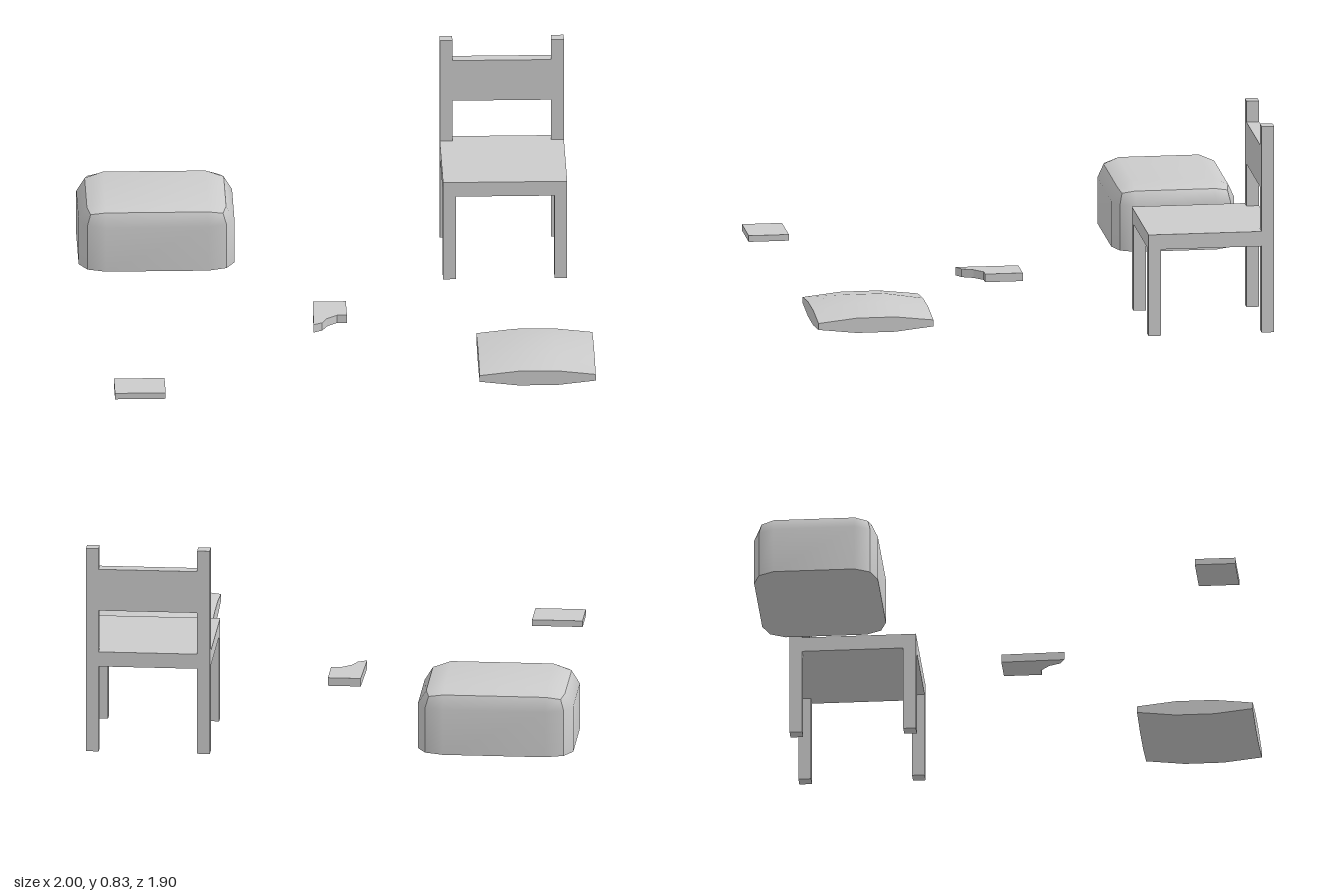
import * as THREE from 'three';

const material = new THREE.MeshStandardMaterial({ color: 0xcccccc });

function addMesh(parent, name, geometry) {
  const mesh = new THREE.Mesh(geometry, material);
  mesh.name = name;
  parent.add(mesh);
  return mesh;
}

// Box given by its lower and upper corners
function addBox(parent, name, [x0, y0, z0], [x1, y1, z1]) {
  const mesh = addMesh(parent, name, new THREE.BoxGeometry(x1 - x0, y1 - y0, z1 - z0));
  mesh.position.set((x0 + x1) / 2, (y0 + y1) / 2, (z0 + z1) / 2);
}

// Segmented box of size 2 whose vertices are moved by a rule;
// each of the six sides keeps its own smooth normals
function shapedBox(segments, rule) {
  const geometry = new THREE.BoxGeometry(2, 2, 2, ...segments);
  const p = geometry.attributes.position;
  for (let i = 0; i < p.count; i++) {
    p.setXYZ(i, ...rule(p.getX(i), p.getY(i), p.getZ(i)));
  }
  geometry.computeVertexNormals();
  return geometry;
}

function createChair() {
  const chair = new THREE.Group();
  chair.name = 'chair';
  const t = 0.05, left = 0.925, right = 0.435, back = -0.92, front = -0.42;
  for (const x of [right, left - t]) {
    addBox(chair, 'frontLeg', [x, 0, front - t], [x + t, 0.35, front]);
    addBox(chair, 'backPost', [x, 0, back], [x + t, 0.835, back + t]);
  }
  addBox(chair, 'seat', [right, 0.35, back], [left, 0.41, front]);
  addBox(chair, 'backRail', [right + t, 0.58, back], [left - t, 0.75, back + t]);
  return chair;
}

// Footstool: flat base, edges and top corners pulled inwards
function footstoolGeometry() {
  return shapedBox([3, 2, 3], (x, y, z) => {
    const ox = Math.abs(x) > 0.9, oy = y > 0.9, oz = Math.abs(z) > 0.9;
    const outer = ox + oy + oz;
    const pull = outer === 3 ? 1.4 : outer === 2 ? 1 : 0;
    return [
      Math.sign(x) * (ox ? 0.3075 - 0.033 * pull : 0.2025),
      oy ? 0.295 - 0.026 * pull : y < -0.9 ? 0.03 : 0.215,
      Math.sign(z) * (oz ? 0.245 - 0.025 * pull : 0.16),
    ];
  });
}

// Cushion: square outline, thin at the corners and thick in the middle
function cushionGeometry() {
  return shapedBox([3, 1, 3], (x, y, z) => {
    const outer = (Math.abs(x) > 0.9) + (Math.abs(z) > 0.9);
    return [x * 0.229, Math.sign(y) * [0.054, 0.03, 0.013][outer], z * 0.229];
  });
}

// Broken tile piece: straight on three sides, jagged at the front
function fragmentGeometry() {
  const outline = [
    [-0.09, -0.04], [0.04, -0.04], [0.04, 0.11], [0, 0.11],
    [-0.04, 0.145], [-0.06, 0.19], [-0.095, 0.21],
  ];
  const shape = new THREE.Shape(outline.map(([x, z]) => new THREE.Vector2(x, -z)));
  const geometry = new THREE.ExtrudeGeometry(shape, { depth: 0.033, bevelEnabled: false });
  return geometry.rotateX(-Math.PI / 2);
}

export function createModel() {
  const model = new THREE.Group();
  model.name = 'furnitureSet';
  model.add(createChair());
  addMesh(model, 'footstool', footstoolGeometry()).position.set(-0.6925, 0, -0.71);
  addMesh(model, 'cushion', cushionGeometry()).position.set(0.77, 0.098, 0.676);
  addMesh(model, 'brokenPiece', fragmentGeometry()).position.y = 0.028;
  addBox(model, 'tile', [-0.9, 0.045, 0.79], [-0.7, 0.07, 0.95]);
  return model;
}
